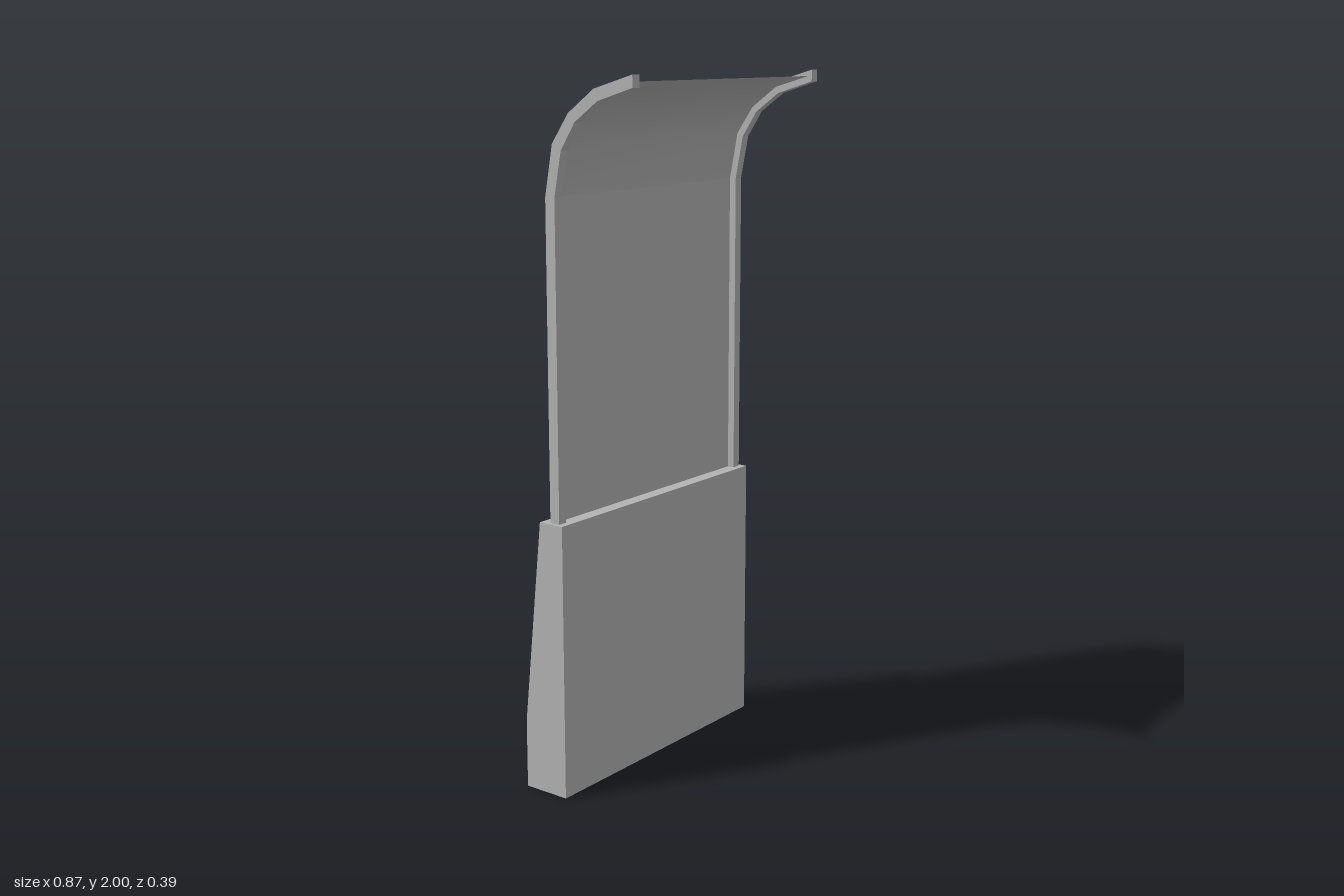
import * as THREE from 'three';

const grey = new THREE.MeshStandardMaterial({ color: 0xb3b3b3, side: THREE.DoubleSide });
grey.name = 'light grey';

// Extrude a side profile of [z, y] points along x, from x0 to x1
function extrudeProfile(points, x0, x1) {
  const shape = new THREE.Shape(points.map(([z, y]) => new THREE.Vector2(-z, y)));
  const geo = new THREE.ExtrudeGeometry(shape, { depth: x1 - x0, bevelEnabled: false });
  return geo.rotateY(Math.PI / 2).translate(x0, 0, 0);
}

// Thin sheet that follows [z, y] points across the width
function sheet(path, halfWidth) {
  const geo = new THREE.PlaneGeometry(2 * halfWidth, 1, 1, path.length - 1);
  const pos = geo.attributes.position;
  for (let i = 0; i < pos.count; i++) {
    const [z, y] = path[path.length - 1 - Math.floor(i / 2)];
    pos.setY(i, y);
    pos.setZ(i, z);
  }
  geo.computeVertexNormals();
  return geo;
}

// Base shell: closed top, open underneath
function baseShell(halfWidth) {
  const profile = [[-0.05, 0], [-0.05, 0.793], [-0.13, 0.793], [-0.193, 0.2], [-0.193, 0]];
  const v = [], n = profile.length;
  const tri = (...corners) => corners.forEach(([x, p]) => v.push(x, p[1], p[0]));
  for (let i = 0; i < n - 1; i++) {
    const a = profile[i], b = profile[i + 1], w = halfWidth;
    tri([-w, a], [w, a], [w, b]);
    tri([-w, a], [w, b], [-w, b]);
  }
  for (let i = 1; i < n - 1; i++) {
    const a = profile[0], b = profile[i], c = profile[i + 1];
    tri([halfWidth, a], [halfWidth, c], [halfWidth, b]);
    tri([-halfWidth, a], [-halfWidth, b], [-halfWidth, c]);
  }
  const geo = new THREE.BufferGeometry();
  geo.setAttribute('position', new THREE.Float32BufferAttribute(v, 3));
  geo.computeVertexNormals();
  return geo;
}

export function createModel() {
  const model = new THREE.Group();
  const add = (name, geo) => {
    const mesh = new THREE.Mesh(geo, grey);
    mesh.name = name;
    model.add(mesh);
  };

  add('base', baseShell(0.435));

  // Side rails, bending forward at the top
  const outer = [[-0.102, 0.793], [-0.102, 1.68], [-0.076, 1.82], [-0.02, 1.9], [0.066, 1.963], [0.193, 2]];
  const inner = [[-0.07, 0.793], [-0.07, 1.68], [-0.046, 1.803], [0.002, 1.877], [0.078, 1.932], [0.193, 1.967]];
  const railProfile = [...outer, ...inner.reverse()];
  add('leftRail', extrudeProfile(railProfile, 0.395, 0.423));
  add('rightRail', extrudeProfile(railProfile, -0.423, -0.395));

  // Flat back panel and smoothly curved canopy between the rails
  add('backPanel', sheet([[-0.091, 0.793], [-0.091, 1.68]], 0.396));
  add('canopy', sheet([[-0.091, 1.68], [-0.065, 1.813], [-0.012, 1.89], [0.07, 1.95], [0.182, 1.982]], 0.396));

  return model;
}
